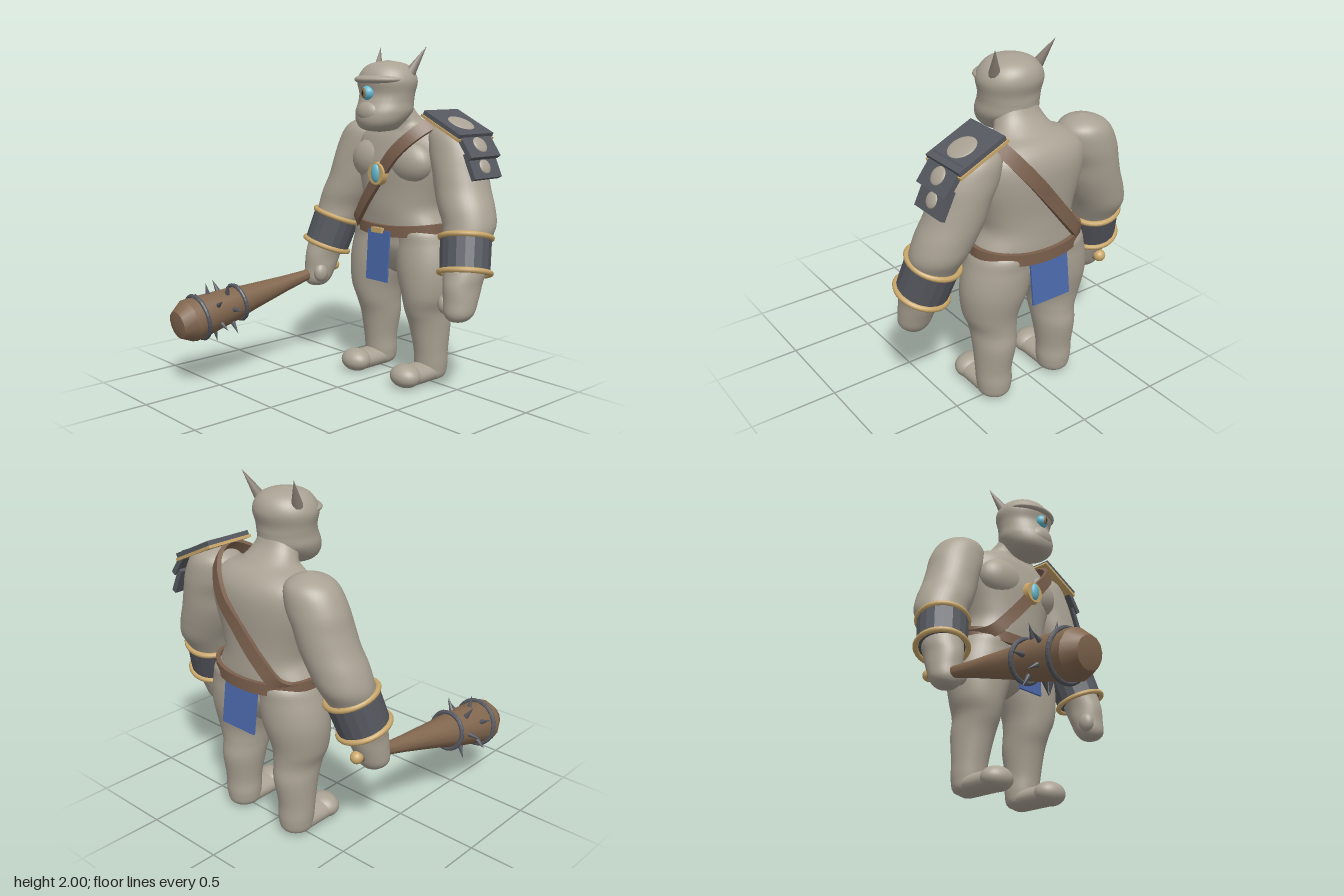
import * as THREE from 'three';
import { toCreasedNormals } from 'three/addons/utils/BufferGeometryUtils.js';

const V = (x, y, z) => new THREE.Vector3(x, y, z);

function paint(name, color, flatShading = false) {
  const m = new THREE.MeshStandardMaterial({ color, flatShading });
  m.name = name;
  return m;
}

// Smooth skin through horizontal oval sections [y, x, z, rx, rz], listed from the bottom up
function loft(sections, mirror = 1, square = 1, seg = 36) {
  const mid = new THREE.CatmullRomCurve3(sections.map(s => V(s[1] * mirror, s[0], s[2])), false, 'catmullrom');
  const rad = new THREE.CatmullRomCurve3(sections.map(s => V(s[3], s[4], 0)), false, 'catmullrom');
  const rows = (sections.length - 1) * 6, pos = [], idx = [];
  const soft = v => Math.sign(v) * Math.abs(v) ** square;
  for (let j = 0; j <= rows; j++) {
    const c = mid.getPoint(j / rows), r = rad.getPoint(j / rows);
    for (let i = 0; i < seg; i++) {
      const a = i / seg * Math.PI * 2;
      pos.push(c.x + Math.max(r.x, 0) * soft(Math.cos(a)), c.y, c.z + Math.max(r.y, 0) * soft(Math.sin(a)));
      if (j === rows) continue;
      const p = j * seg + i, q = j * seg + (i + 1) % seg;
      idx.push(p, p + seg, q, q, p + seg, q + seg);
    }
  }
  const g = new THREE.BufferGeometry();
  g.setAttribute('position', new THREE.Float32BufferAttribute(pos, 3));
  g.setIndex(idx);
  g.computeVertexNormals();
  return g;
}

// Closed flat strap following a loop; normalAt gives the outward direction
function strap(points, width, thick, normalAt) {
  const curve = new THREE.CatmullRomCurve3(points, true), N = 72, pos = [], idx = [];
  for (let i = 0; i < N; i++) {
    const p = curve.getPoint(i / N), t = curve.getTangent(i / N), n = normalAt(p);
    n.addScaledVector(t, -n.dot(t)).normalize();
    const w = t.clone().cross(n);
    [[1, 1], [-1, 1], [-1, -1], [1, -1]].forEach(([a, b], k) => {
      const c = p.clone().addScaledVector(w, a * width / 2).addScaledVector(n, b * thick / 2);
      pos.push(c.x, c.y, c.z);
      const u = i * 4 + k, v = i * 4 + (k + 1) % 4, u2 = (u + 4) % (N * 4), v2 = (v + 4) % (N * 4);
      idx.push(u, u2, v, v, u2, v2);
    });
  }
  const g = new THREE.BufferGeometry();
  g.setAttribute('position', new THREE.Float32BufferAttribute(pos, 3));
  g.setIndex(idx);
  return toCreasedNormals(g, 0.7);
}

function add(parent, name, geo, mat, x = 0, y = 0, z = 0) {
  const m = new THREE.Mesh(geo, mat);
  m.name = name;
  m.position.set(x, y, z);
  parent.add(m);
  return m;
}

function ellipsoid(parent, name, mat, [x, y, z], [rx, ry, rz]) {
  const m = add(parent, name, new THREE.SphereGeometry(1, 28, 18), mat, x, y, z);
  m.scale.set(rx, ry, rz);
  return m;
}

// Turns an object so its own y axis points from a to b
function aim(obj, a, b) {
  obj.quaternion.setFromUnitVectors(V(0, 1, 0), b.clone().sub(a).normalize());
  return obj;
}

function spike(parent, name, mat, a, b, r) {
  const m = add(parent, name, new THREE.ConeGeometry(r, a.distanceTo(b), 10), mat);
  m.position.copy(a).lerp(b, 0.5);
  return aim(m, a, b);
}

export function createModel() {
  const skin = paint('skin', 0xaaa294), horn = paint('horn', 0x8f867b);
  const leather = paint('leather', 0x7b604d), wood = paint('wood', 0x82674f);
  const metal = paint('dark metal', 0x55585f, true), gold = paint('gold', 0xc9a76a);
  const cloth = paint('blue cloth', 0x4a68aa), gem = paint('blue gem', 0x62b8d0);
  const amber = paint('amber', 0x8f6d3c), black = paint('black', 0x25262a);

  const root = new THREE.Group();
  root.name = 'cyclops';
  const body = new THREE.Group();
  body.name = 'body';
  body.position.x = 0.048;
  root.add(body);

  // Torso and neck
  add(body, 'torso', loft([
    [0.62, 0, -0.5, 0, 0], [0.68, 0, -0.5, 0.12, 0.11], [0.8, 0, -0.5, 0.28, 0.175], [0.88, 0, -0.5, 0.32, 0.185],
    [0.95, 0, -0.5, 0.315, 0.19], [1.05, 0, -0.495, 0.27, 0.195], [1.15, 0, -0.495, 0.285, 0.197],
    [1.3, 0, -0.5, 0.33, 0.205], [1.4, 0, -0.51, 0.34, 0.195], [1.47, 0, -0.51, 0.32, 0.175],
    [1.52, 0, -0.5, 0.25, 0.145], [1.555, 0, -0.47, 0.17, 0.12], [1.62, 0, -0.42, 0.13, 0.1], [1.7, 0, -0.4, 0.1, 0.08],
  ], 1, 0.9), skin);

  // Head
  add(body, 'head', loft([
    [1.505, 0, -0.285, 0, 0], [1.52, 0, -0.285, 0.09, 0.095], [1.56, 0, -0.29, 0.14, 0.135],
    [1.62, 0, -0.32, 0.167, 0.167], [1.68, 0, -0.337, 0.167, 0.16], [1.73, 0, -0.345, 0.172, 0.155],
    [1.8, 0, -0.347, 0.183, 0.17], [1.86, 0, -0.35, 0.155, 0.15], [1.9, 0, -0.35, 0.1, 0.1], [1.92, 0, -0.35, 0, 0],
  ]), skin);
  ellipsoid(body, 'brow', skin, [0, 1.808, -0.29], [0.17, 0.038, 0.135]);
  ellipsoid(body, 'snout', skin, [0, 1.62, -0.205], [0.09, 0.07, 0.06]);
  ellipsoid(body, 'eye', gem, [0, 1.733, -0.195], [0.043, 0.043, 0.043]);
  ellipsoid(body, 'iris', amber, [0, 1.733, -0.156], [0.017, 0.029, 0.008]);
  ellipsoid(body, 'pupil', black, [0, 1.733, -0.15], [0.007, 0.016, 0.004]);

  for (const s of [-1, 1]) {
    const side = s > 0 ? 'left' : 'right';
    spike(body, side + 'Horn', horn, V(s * 0.125, 1.82, -0.385), V(s * 0.19, 1.999, -0.475), 0.038);
    ellipsoid(body, side + 'Chest', skin, [s * 0.15, 1.33, -0.39], [0.16, 0.13, 0.1]);

    // Arm and closed hand
    add(body, side + 'Arm', loft([
      [0.478, 0.605, -0.315, 0, 0], [0.49, 0.605, -0.315, 0.05, 0.055], [0.53, 0.605, -0.322, 0.085, 0.088],
      [0.6, 0.6, -0.34, 0.096, 0.104], [0.68, 0.595, -0.36, 0.1, 0.122], [0.76, 0.585, -0.385, 0.115, 0.125],
      [0.9, 0.55, -0.435, 0.13, 0.135], [1, 0.537, -0.475, 0.152, 0.152], [1.1, 0.498, -0.49, 0.165, 0.16],
      [1.2, 0.455, -0.505, 0.163, 0.16], [1.3, 0.425, -0.515, 0.16, 0.16], [1.4, 0.39, -0.525, 0.17, 0.155],
      [1.5, 0.36, -0.53, 0.147, 0.138], [1.55, 0.35, -0.53, 0.09, 0.09], [1.577, 0.34, -0.53, 0, 0],
    ], s), skin);
    ellipsoid(body, side + 'Thumb', skin, [s * 0.535, 0.575, -0.29], [0.04, 0.06, 0.05]);

    // Bracer with gold rims
    const low = V(s * 0.59, 0.738, -0.383), high = V(s * 0.545, 0.94, -0.44);
    const bracer = new THREE.Group();
    bracer.name = side + 'Bracer';
    bracer.position.copy(low).lerp(high, 0.5);
    body.add(aim(bracer, low, high));
    add(bracer, 'cuff', new THREE.CylinderGeometry(0.147, 0.143, 0.2, 18), metal);
    for (const e of [-0.1, 0.1])
      add(bracer, 'rim', new THREE.TorusGeometry(0.145, 0.016, 8, 32), gold, 0, e, 0).rotation.x = Math.PI / 2;

    // Leg and foot
    add(body, side + 'Leg', loft([
      [0.015, 0.215, -0.52, 0, 0], [0.03, 0.215, -0.52, 0.08, 0.085], [0.1, 0.215, -0.525, 0.1, 0.1],
      [0.2, 0.217, -0.52, 0.103, 0.106], [0.35, 0.21, -0.515, 0.119, 0.133], [0.45, 0.208, -0.493, 0.128, 0.148],
      [0.55, 0.217, -0.485, 0.155, 0.163], [0.7, 0.2, -0.497, 0.19, 0.185], [0.85, 0.18, -0.505, 0.183, 0.185],
      [0.95, 0.165, -0.505, 0.15, 0.17], [1, 0.15, -0.5, 0, 0],
    ], s), skin);
    const foot = add(body, side + 'Foot', new THREE.CapsuleGeometry(0.062, 0.22, 10, 24), skin, s * 0.215, 0.064, -0.425);
    foot.rotation.x = Math.PI / 2;
    foot.scale.x = 1.45;
    ellipsoid(body, side + 'Toes', skin, [s * 0.215, 0.07, -0.305], [0.1, 0.07, 0.085]);
  }

  // Belt, buckle and hanging cloths
  const beltLoop = Array.from({ length: 24 }, (_, i) => {
    const a = -i / 24 * Math.PI * 2, c = Math.cos(a), d = Math.sin(a);
    const soft = v => Math.sign(v) * Math.abs(v) ** 0.92;
    return V(0.328 * soft(c), 0.947 - 0.024 * d * d, -0.503 + 0.206 * soft(d));
  });
  add(body, 'belt', strap(beltLoop, 0.066, 0.024, p => V(p.x / 2.5, 0, p.z + 0.503)), leather);
  add(body, 'buckle', new THREE.BoxGeometry(0.085, 0.03, 0.03), gold, 0, 0.925, -0.277);
  add(body, 'frontCloth', new THREE.BoxGeometry(0.178, 0.305, 0.012), cloth, 0.003, 0.772, -0.278).rotation.x = -0.06;
  add(body, 'backCloth', new THREE.BoxGeometry(0.245, 0.27, 0.012), cloth, 0, 0.795, -0.718).rotation.x = 0.14;

  // Strap from the left shoulder to the right hip, all the way round
  const sash = [
    V(-0.25, 0.945, -0.345), V(-0.16, 1.045, -0.3), V(0, 1.236, -0.277), V(0.13, 1.39, -0.277), V(0.22, 1.49, -0.335),
    V(0.27, 1.555, -0.43), V(0.275, 1.578, -0.53), V(0.23, 1.52, -0.635), V(0.12, 1.38, -0.712), V(0, 1.236, -0.712),
    V(-0.13, 1.08, -0.698), V(-0.24, 0.96, -0.655), V(-0.315, 0.93, -0.5),
  ];
  add(body, 'sash', strap(sash, 0.075, 0.024, p => V(p.x - 0.03, 0.6 * (p.y - 1.24), p.z + 0.5)), leather);
  const disc = add(body, 'medallion', new THREE.CylinderGeometry(0.064, 0.07, 0.034, 28), gold, 0.008, 1.262, -0.264);
  disc.rotation.x = Math.PI / 2;
  ellipsoid(body, 'medallionGem', gem, [0.008, 1.266, -0.25], [0.032, 0.056, 0.022]);

  // Layered shoulder armour on the left: x, y, length, depth, slope
  const plates = [[0.445, 1.56, 0.3, 0.285, 0.434], [0.592, 1.452, 0.18, 0.25, 0.93], [0.632, 1.335, 0.155, 0.23, 1.13]];
  plates.forEach(([x, y, len, depth, slope], i) => {
    const plate = new THREE.Group();
    plate.name = 'shoulderPlate' + (i + 1);
    plate.position.set(x, y, -0.522);
    plate.rotation.z = -slope;
    root.add(plate);
    add(plate, 'plate', new THREE.BoxGeometry(len, 0.03, depth), metal);
    if (i === 0) add(plate, 'trim', new THREE.BoxGeometry(len + 0.014, 0.016, depth + 0.014), gold, 0, -0.018, 0);
    const r = Math.min(len, depth) * 0.28;
    ellipsoid(plate, 'boss', skin, [len * 0.06, 0.014, 0], [r, 0.013, r]);
  });

  // Spiked club in the right hand
  const butt = V(-0.556, 0.595, -0.46), end = V(-0.605, 0.385, 0.735);
  const club = new THREE.Group();
  club.name = 'club';
  club.position.copy(butt);
  root.add(aim(club, butt, end));
  const profile = [[0, 0], [0.03, 0], [0.034, 0.23], [0.05, 0.4], [0.083, 0.68], [0.103, 0.8], [0.127, 1.05],
    [0.13, 1.12], [0.085, 1.195], [0, 1.212]].map(([r, h]) => new THREE.Vector2(r, h));
  add(club, 'shaft', toCreasedNormals(new THREE.LatheGeometry(profile, 14), 0.5), wood);
  ellipsoid(club, 'pommel', gold, [0, 0, 0], [0.036, 0.036, 0.036]);
  for (const [h, r] of [[0.775, 0.108], [1.055, 0.132]])
    add(club, 'ring', new THREE.TorusGeometry(r, 0.013, 8, 28), metal, 0, h, 0).rotation.x = Math.PI / 2;
  [[0.86, 0], [0.96, Math.PI / 6]].forEach(([h, turn]) => {
    for (let i = 0; i < 6; i++) {
      const a = turn + i * Math.PI / 3, c = Math.cos(a), d = Math.sin(a);
      spike(club, 'spike', metal, V(c * 0.1, h, d * 0.1), V(c * 0.185, h, d * 0.185), 0.017);
    }
  });
  return root;
}
